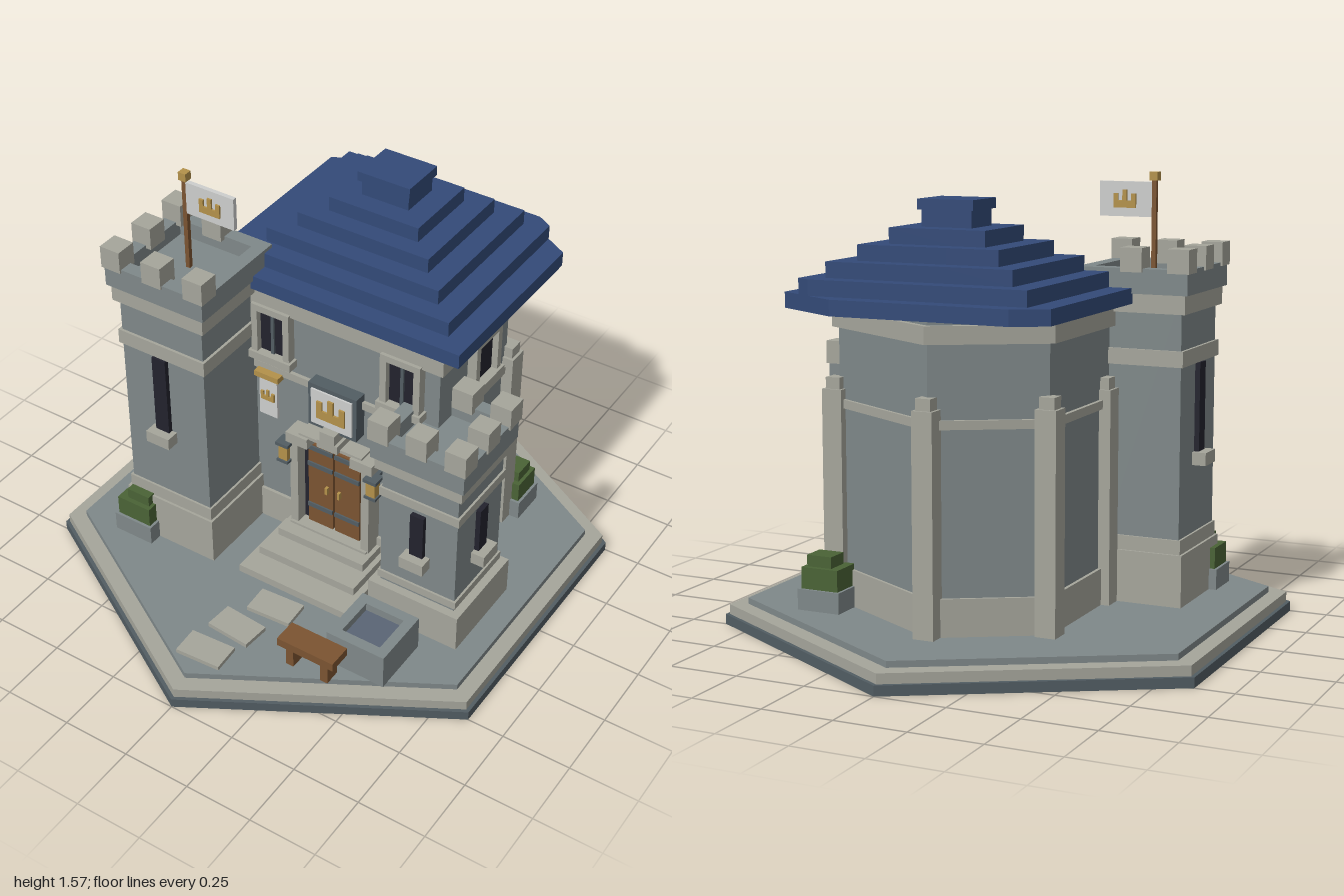
import * as THREE from 'three';

const mat = (name, color) => {
  const m = new THREE.MeshStandardMaterial({ color });
  m.name = name;
  return m;
};
const stone = mat('grey stone', 0x7f8889), trim = mat('pale stone', 0xa5a59b);
const slate = mat('dark slate', 0x525d63), roofBlue = mat('blue roof', 0x334a78);
const wood = mat('brown wood', 0x7b5431), dark = mat('dark glass', 0x22222d);
const gold = mat('gold', 0xb3914a), cloth = mat('white cloth', 0xcdcecd);
const leaf = mat('green leaves', 0x4a6336), water = mat('water', 0x5a6575);

function add(parent, name, geo, material) {
  const m = new THREE.Mesh(geo, material);
  m.name = name;
  parent.add(m);
  return m;
}
// box from its minimum and maximum corners
function box(parent, name, material, x0, x1, y0, y1, z0, z1) {
  const g = new THREE.BoxGeometry(x1 - x0, y1 - y0, z1 - z0);
  g.translate((x0 + x1) / 2, (y0 + y1) / 2, (z0 + z1) / 2);
  return add(parent, name, g, material);
}
// square block centred on (x, z)
const block = (p, name, m, x, z, h, y0, y1, hz = h) => box(p, name, m, x - h, x + h, y0, y1, z - hz, z + hz);

function group(parent, name) {
  const g = new THREE.Group();
  g.name = name;
  parent.add(g);
  return g;
}
// upright prism from a plan outline of [x, z] points
function prism(parent, name, material, pts, y0, y1, hole) {
  const s = new THREE.Shape(pts.map(([x, z]) => new THREE.Vector2(x, -z)));
  if (hole) s.holes.push(new THREE.Path(hole.map(([x, z]) => new THREE.Vector2(x, -z))));
  const g = new THREE.ExtrudeGeometry(s, { depth: y1 - y0, bevelEnabled: false });
  g.rotateX(-Math.PI / 2).translate(0, y0, 0);
  return add(parent, name, g, material);
}
const hexagon = r => [0, 1, 2, 3, 4, 5].map(i => [r * Math.sin(i * Math.PI / 3), r * Math.cos(i * Math.PI / 3)]);
const square = (x, z, h) => [[x - h, z + h], [x + h, z + h], [x + h, z - h], [x - h, z - h]];

// rectangle whose back is cut by a hexagon of radius r
function clipped(x0, x1, z0, z1, r) {
  const k = 1 / Math.sqrt(3), xi = Math.max(0, (r + z0) / k);
  const xs = [x1, xi, 0, -xi, x0].filter((x, i, a) => x <= x1 && x >= x0 && a.indexOf(x) === i);
  return [[x0, z1], [x1, z1], ...xs.map(x => [x, Math.max(z0, -r + k * Math.abs(x))])];
}
const keepPlan = o => clipped(-0.34 - o, 0.48 + o, -2, 0.1 + o, 0.63 + o);

// stepped battlement emblem in the xy plane
function emblem(parent, x, y, z, w, h) {
  const a = w / 2, t = w / 10, s = new THREE.Shape();
  [[-a, 0], [a, 0], [a, h * 0.8], [a - 2 * t, h * 0.8], [a - 2 * t, h * 0.4], [t, h * 0.4], [t, h], [-t, h],
    [-t, h * 0.4], [-a + 2 * t, h * 0.4], [-a + 2 * t, h * 0.8], [-a, h * 0.8]]
    .forEach(([px, py], i) => (i ? s.lineTo(px, py) : s.moveTo(px, py)));
  const g = new THREE.ExtrudeGeometry(s, { depth: 0.008, bevelEnabled: false });
  add(parent, 'emblem', g, gold).position.set(x, y, z);
}
// window facing +z with its wall at z = 0; frame is optional
function windowAt(parent, name, x, z, turn, w, y0, y1, framed) {
  const g = group(parent, name), a = w / 2, f = 0.025;
  g.position.set(x, 0, z);
  g.rotation.y = turn;
  box(g, 'pane', dark, -a, a, y0, y1, -0.01, framed ? 0.012 : 0.018);
  if (framed) {
    for (const s of [-1, 1]) box(g, 'jamb', trim, s * (a + f / 2) - f / 2, s * (a + f / 2) + f / 2, y0, y1, 0, 0.035);
    box(g, 'lintel', trim, -a - f, a + f, y1, y1 + f, 0, 0.035);
    box(g, 'sill', trim, -a - 0.035, a + 0.035, y0 - 0.03, y0, 0, 0.045);
  } else box(g, 'sill', trim, -a - 0.02, a + 0.02, y0 - 0.045, y0, 0, 0.05);
}
// crenellated top; inner is the side (-1 or 1 in x) that meets the keep
function battlement(p, x, z, h, y0, y1, top, inner) {
  prism(p, 'parapet', stone, square(x, z, h), y0, y1, square(x, z, h - 0.05));
  block(p, 'towerFloor', stone, x, z, h - 0.045, y0, y0 + 0.025);
  for (const i of [-1, 0, 1]) for (const j of [-1, 0, 1]) {
    if ((!i && !j) || (i === inner && j < 1)) continue;
    block(p, 'merlon', trim, x + i * (h - 0.032), z + j * (h - 0.032), 0.039, y1 - 0.012, top);
  }
}
function planter(parent, x, z) {
  const g = group(parent, 'planter');
  block(g, 'planterBox', stone, x, z, 0.08, 0.09, 0.165, 0.07);
  block(g, 'bush', leaf, x, z, 0.07, 0.165, 0.24, 0.06);
  block(g, 'bushTop', leaf, x + 0.01, z, 0.047, 0.24, 0.28, 0.042);
}

export function createModel() {
  const root = new THREE.Group();
  root.name = 'castle';

  // hexagonal base
  prism(root, 'baseSlab', slate, hexagon(1), 0, 0.035);
  prism(root, 'baseRim', trim, hexagon(0.985), 0.035, 0.07);
  prism(root, 'courtyard', stone, hexagon(0.92), 0.07, 0.092);

  // keep walls and bands
  const keep = group(root, 'keep');
  prism(keep, 'walls', stone, keepPlan(0), 0.09, 1.13);
  prism(keep, 'plinth', trim, keepPlan(0.012), 0.09, 0.22);
  prism(keep, 'stringCourse', trim, keepPlan(0.014), 0.775, 0.805);
  prism(keep, 'frieze', trim, keepPlan(0.022), 1.05, 1.11);
  for (const [x, z] of [[0.485, -0.365], [0, -0.635], [-0.345, -0.445], [-0.345, 0.01]]) {
    block(keep, 'buttress', trim, x, z, 0.037, 0.09, 0.84);
    block(keep, 'buttressCap', trim, x, z, 0.027, 0.84, 0.88);
  }
  for (const x of [-0.175, 0.345]) windowAt(keep, 'upperWindow', x, 0.1, 0, 0.105, 0.865, 1.035, true);
  for (const x of [-0.175, 0.345]) box(keep, 'mullion', slate, x - 0.006, x + 0.006, 0.865, 1.035, 0.11, 0.12);
  windowAt(keep, 'sideUpperWindow', 0.48, -0.165, Math.PI / 2, 0.12, 0.87, 1.03, true);
  windowAt(keep, 'sideLowerWindow', 0.48, -0.147, Math.PI / 2, 0.11, 0.4, 0.6, true);

  // stepped roof
  const roof = group(root, 'roof');
  for (let i = 0; i < 5; i++) {
    const hx = 0.5 - i * 0.0812, hz = 0.421 - i * 0.068, y = 1.13 + i * 0.0535;
    prism(roof, 'roofStep', roofBlue, clipped(0.07 - hx, 0.07 + hx, -0.276 - hz, -0.276 + hz, 0.88), y, y + 0.0535);
  }
  block(roof, 'roofNeck', roofBlue, 0.07, -0.276, 0.092, 1.395, 1.455, 0.075);
  block(roof, 'roofCap', roofBlue, 0.07, -0.276, 0.102, 1.455, 1.49, 0.087);

  // tall tower
  const tower = group(root, 'tallTower'), tx = -0.43, tz = 0.232;
  block(tower, 'towerWall', stone, tx, tz, 0.17, 0.09, 1.17);
  block(tower, 'towerPlinth', trim, tx, tz, 0.187, 0.09, 0.275);
  block(tower, 'towerLedge', trim, tx, tz, 0.178, 0.275, 0.325);
  block(tower, 'towerBand', trim, tx, tz, 0.18, 0.92, 0.975);
  block(tower, 'towerCornice', trim, tx, tz, 0.188, 1.1, 1.167);
  battlement(tower, tx, tz, 0.2, 1.165, 1.25, 1.32, 1);
  windowAt(tower, 'towerWindow', -0.438, tz + 0.17, 0, 0.056, 0.61, 0.92);
  windowAt(tower, 'towerSideWindow', tx - 0.17, tz, -Math.PI / 2, 0.056, 0.61, 0.92);

  // flag
  const flag = group(tower, 'flag');
  block(flag, 'pole', wood, -0.438, 0.222, 0.008, 1.18, 1.535);
  block(flag, 'finial', gold, -0.438, 0.222, 0.015, 1.535, 1.565);
  box(flag, 'flagCloth', cloth, -0.43, -0.238, 1.41, 1.53, 0.214, 0.23);
  for (const z of [0.229, 0.207]) emblem(flag, -0.332, 1.44, z, 0.082, 0.062);

  // short turret
  const turret = group(root, 'shortTurret'), sx = 0.53, sz = 0.145;
  block(turret, 'turretWall', stone, sx, sz, 0.147, 0.09, 0.8);
  block(turret, 'turretPlinth', trim, sx, sz, 0.178, 0.09, 0.235);
  block(turret, 'turretLedge', trim, sx, sz, 0.155, 0.25, 0.28);
  block(turret, 'turretBand', trim, sx, sz, 0.155, 0.62, 0.655);
  block(turret, 'turretCornice', trim, sx, sz, 0.167, 0.74, 0.79);
  battlement(turret, sx, sz, 0.178, 0.79, 0.88, 0.95, -1);
  windowAt(turret, 'turretWindow', sx, sz + 0.147, 0, 0.052, 0.425, 0.6);
  windowAt(turret, 'turretSideWindow', sx + 0.147, sz, Math.PI / 2, 0.052, 0.425, 0.6);

  // entrance
  const door = group(root, 'entrance'), dx = 0.09;
  [[0.225, 0.41], [0.2, 0.32], [0.18, 0.23]].forEach(([h, z], i) =>
    box(door, 'step', trim, dx - h, dx + h, 0.09 + i * 0.032, 0.122 + i * 0.032, 0.1, z));
  box(door, 'threshold', trim, dx - 0.16, dx + 0.16, 0.18, 0.195, 0.1, 0.18);
  box(door, 'doorway', dark, dx - 0.135, dx + 0.135, 0.19, 0.595, 0.1, 0.125);
  for (const s of [-1, 1]) {
    const c = dx + s * 0.056;
    block(door, 'doorLeaf', wood, c, 0.127, 0.051, 0.195, 0.555, 0.012);
    for (const y of [0.275, 0.465, 0.54]) block(door, 'hingeStrap', slate, c, 0.14, 0.051, y - 0.009, y + 0.009, 0.005);
    block(door, 'handle', gold, dx + s * 0.026, 0.145, 0.005, 0.36, 0.388, 0.008);
    block(door, 'jamb', trim, dx + s * 0.148, 0.135, 0.016, 0.18, 0.56, 0.035);
    block(door, 'lintelBlock', trim, dx + s * 0.133, 0.137, 0.045, 0.555, 0.597, 0.04);
    // lantern
    const lx = dx + s * 0.182;
    block(door, 'lanternBracket', slate, lx, 0.14, 0.007, 0.535, 0.55, 0.04);
    block(door, 'lanternGlow', gold, lx, 0.172, 0.018, 0.477, 0.54);
    block(door, 'lanternTop', slate, lx, 0.172, 0.026, 0.54, 0.553);
    block(door, 'lanternFoot', slate, lx, 0.172, 0.023, 0.466, 0.477);
    // banner
    const bx = dx + s * 0.27 - (s > 0 ? 0.038 : 0.01);
    block(door, 'bannerRod', gold, bx, 0.125, 0.05, 0.76, 0.782, 0.018);
    block(door, 'banner', cloth, bx, 0.125, 0.037, 0.595, 0.76, 0.006);
    emblem(door, bx, 0.665, 0.13, 0.055, 0.043);
  }
  block(door, 'lintel', trim, dx, 0.13, 0.13, 0.592, 0.605, 0.035);
  block(door, 'keystone', trim, dx, 0.14, 0.042, 0.597, 0.63, 0.045);
  block(door, 'keystoneTop', trim, dx, 0.14, 0.03, 0.63, 0.67, 0.045);
  block(door, 'signFrame', slate, dx, 0.12, 0.098, 0.655, 0.835, 0.03);
  block(door, 'signPanel', cloth, dx, 0.153, 0.083, 0.672, 0.818, 0.004);
  emblem(door, dx, 0.705, 0.156, 0.115, 0.09);

  // courtyard furniture
  const trough = group(root, 'waterTrough');
  prism(trough, 'troughWall', stone, square(0.48, 0.492, 0.113), 0.09, 0.225, square(0.48, 0.492, 0.075));
  block(trough, 'troughWater', water, 0.48, 0.492, 0.076, 0.09, 0.195);

  const bench = group(root, 'bench');
  box(bench, 'benchSeat', wood, 0.235, 0.458, 0.178, 0.21, 0.618, 0.708);
  for (const x of [0.275, 0.413]) block(bench, 'benchLeg', wood, x, 0.663, 0.015, 0.09, 0.178, 0.03);

  planter(root, -0.565, 0.4);
  planter(root, 0.48, -0.45);

  [[0.083, 0.5, 0.06], [0.025, 0.65, -0.08], [0, 0.8, 0.06]].forEach(([x, z, r]) => {
    const s = add(root, 'pavingStone', new THREE.BoxGeometry(0.17, 0.02, 0.105), trim);
    s.position.set(x, 0.098, z);
    s.rotation.y = r;
  });
  return root;
}
